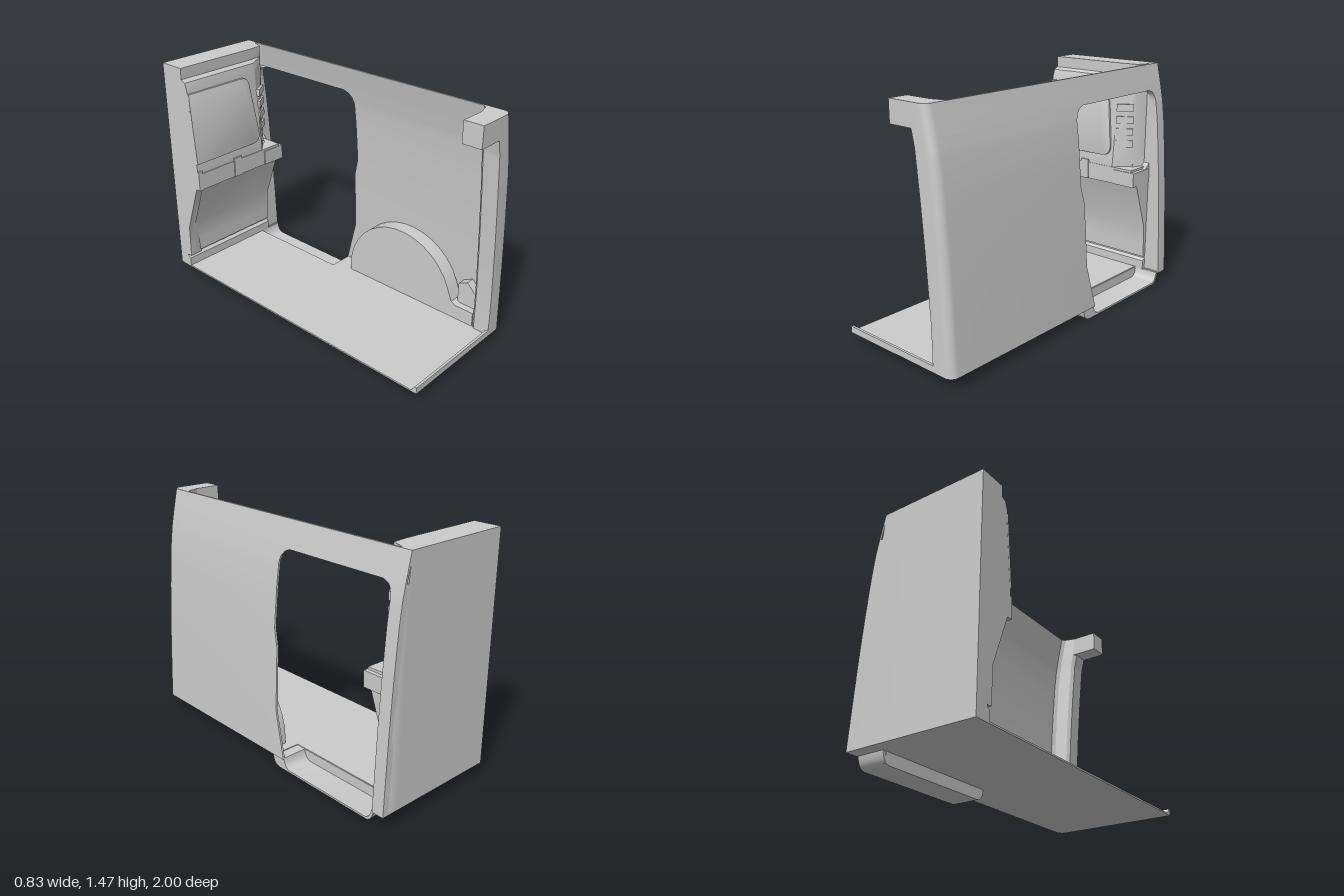
import * as THREE from 'three';
import { toCreasedNormals } from 'three/addons/utils/BufferGeometryUtils.js';

const mat = new THREE.MeshStandardMaterial({ color: 0xcccccc });
const V = (x, y, z) => new THREE.Vector3(x, y, z);

// piecewise linear lookup in [key, value] pairs
function lerpTable(table, k) {
  if (k <= table[0][0]) return table[0][1];
  for (let i = 1; i < table.length; i++) {
    const [k0, v0] = table[i - 1], [k1, v1] = table[i];
    if (k <= k1) return v0 + ((v1 - v0) * (k - k0)) / (k1 - k0);
  }
  return table[table.length - 1][1];
}

// body section, door edges and the pillar's inner edge, all by height
const outerX = y => lerpTable([[0.07, 0.413], [0.3, 0.402], [0.6, 0.387], [0.9, 0.366], [1.1, 0.348], [1.23, 0.331], [1.33, 0.311], [1.47, 0.28]], y);
const doorFront = y => lerpTable([[0.07, -0.21], [0.35, -0.135], [0.55, -0.13], [0.74, -0.125], [0.85, -0.098], [1.23, -0.098], [1.27, -0.11], [1.295, -0.135], [1.31, -0.17]], y);
const doorBack = y => lerpTable([[0.07, -0.922], [1.24, -0.922], [1.275, -0.912], [1.295, -0.895], [1.31, -0.86]], y);
const pillarX = y => lerpTable([[0.07, 0.275], [0.3, 0.275], [0.7, 0.25], [1, 0.225], [1.25, 0.2], [1.34, 0.18], [1.47, 0.16]], y);

// closed solid through matching loops of points; a and b span the cap plane
function loft(rows, a, b) {
  const pos = [], n = rows[0].length;
  const tri = (...p) => p.forEach(v => pos.push(v.x, v.y, v.z));
  for (let i = 0; i + 1 < rows.length; i++)
    for (let j = 0; j < n; j++) {
      const k = (j + 1) % n;
      tri(rows[i][j], rows[i][k], rows[i + 1][k]);
      tri(rows[i][j], rows[i + 1][k], rows[i + 1][j]);
    }
  [rows[0], rows[rows.length - 1]].forEach((row, end) => {
    const flat = row.map(p => new THREE.Vector2(p[a], p[b]));
    const sign = Math.sign(THREE.ShapeUtils.area(flat));
    for (const f of THREE.ShapeUtils.triangulateShape(flat, [])) {
      const same = Math.sign(THREE.ShapeUtils.area(f.map(i => flat[i]))) === sign;
      const [p, q, r] = f.map(i => row[i]);
      if (same === (end === 1)) tri(p, q, r); else tri(p, r, q);
    }
  });
  // turn the solid right side out
  let volume = 0;
  for (let i = 0; i < pos.length; i += 9) {
    const [p, q, r] = [0, 3, 6].map(o => V(pos[i + o], pos[i + o + 1], pos[i + o + 2]));
    volume += p.dot(q.cross(r));
  }
  if (volume < 0)
    for (let i = 0; i < pos.length; i += 9)
      for (let c = 0; c < 3; c++) [pos[i + 3 + c], pos[i + 6 + c]] = [pos[i + 6 + c], pos[i + 3 + c]];
  const g = new THREE.BufferGeometry();
  g.setAttribute('position', new THREE.Float32BufferAttribute(pos, 3));
  return toCreasedNormals(g, 0.5);
}

// prism along x from a (z, y) outline
const prismX = (pts, x0, x1) => loft([x0, x1].map(x => pts.map(([z, y]) => V(x, y, z))), 'z', 'y');

// rounded polygon path; corners are [x, y, radius]
function roundPath(path, corners) {
  const n = corners.length;
  corners.forEach(([x, y, r], i) => {
    const c = new THREE.Vector2(x, y);
    const toward = o => c.clone().add(new THREE.Vector2(corners[o][0], corners[o][1]).sub(c).setLength(r));
    const p = toward((i + n - 1) % n), q = toward((i + 1) % n);
    if (i) path.lineTo(p.x, p.y); else path.moveTo(p.x, p.y);
    if (r) path.quadraticCurveTo(x, y, q.x, q.y);
  });
  path.closePath();
  return path;
}

export function createModel() {
  const model = new THREE.Group();
  const add = (name, geometry) => {
    const m = new THREE.Mesh(geometry, mat);
    m.name = name;
    model.add(m);
    return m;
  };
  const box = (name, x0, x1, y0, y1, z0, z1) =>
    add(name, new THREE.BoxGeometry(x1 - x0, y1 - y0, z1 - z0)).position.set((x0 + x1) / 2, (y0 + y1) / 2, (z0 + z1) / 2);

  // side wall with rounded corner pillar
  const t = 0.012, r = 0.05;
  const wallLoop = (y, edge) => {
    const x = outerX(y), p = pillarX(y), loop = [V(x, y, edge)];
    for (let i = 0; i <= 8; i++) {
      const a = (i / 8) * Math.PI / 2;
      loop.push(V(x - r + r * Math.cos(a), y, 1 - r + r * Math.sin(a)));
    }
    loop.push(V(p, y, 1), V(p, y, 0.9), V(p + 0.02, y, 0.88), V(x - t - 0.02, y, 0.86), V(x - t, y, 0.84), V(x - t, y, edge));
    return loop;
  };
  const low = [0.07, 0.2, 0.35, 0.55, 0.74, 0.85, 1, 1.1, 1.2, 1.23, 1.25, 1.27, 1.285, 1.295, 1.304, 1.31];
  const high = [1.31, 1.34, 1.38, 1.42, 1.47];
  add('sideWall', loft(low.map(y => wallLoop(y, doorFront(y))), 'x', 'z'));
  add('doorHeader', loft(high.map(y => wallLoop(y, -1)), 'x', 'z'));
  add('doorRearJamb', loft(low.map(y => {
    const x = outerX(y), z = doorBack(y);
    return [V(x, y, z), V(x - 0.04, y, z), V(x - 0.04, y, -1), V(x, y, -1)];
  }), 'x', 'z'));
  box('roofRail', 0.02, 0.22, 1.342, 1.47, 0.88, 1);

  // floor with a notch for the step well
  const floor = new THREE.Shape([[-0.415, -1], [0.405, -1], [0.405, -0.915], [0.24, -0.915], [0.24, -0.14], [0.405, -0.14],
    [0.405, 0.96], [0.365, 0.995], [-0.415, 0.995]].map(([x, z]) => new THREE.Vector2(x, -z)));
  const floorGeo = new THREE.ExtrudeGeometry(floor, { depth: 0.01, bevelEnabled: false }).rotateX(-Math.PI / 2);
  add('floor', floorGeo.translate(0, 0.07, 0));
  add('rearSill', prismX([[1, 0.07], [1, 0.11], [0.985, 0.11], [0.965, 0.08], [0.965, 0.07]], -0.415, 0.3));

  // step tray hanging below the door
  const outline = new THREE.Shape();
  outline.moveTo(-0.11, 0.075);
  outline.lineTo(-0.11, 0.06);
  outline.quadraticCurveTo(-0.115, 0.002, -0.17, 0);
  outline.lineTo(-0.87, 0);
  outline.quadraticCurveTo(-0.915, 0.002, -0.925, 0.075);
  outline.lineTo(-0.91, 0.075);
  outline.quadraticCurveTo(-0.9, 0.014, -0.86, 0.012);
  outline.lineTo(-0.26, 0.012);
  outline.quadraticCurveTo(-0.215, 0.014, -0.205, 0.075);
  const tray = outline.getPoints(8).map(p => [p.x, p.y]);
  add('stepTray', prismX(tray, 0.23, 0.405));
  box('stepRiser', 0.23, 0.242, 0.006, 0.075, -0.9, -0.15);

  // wheel housing inside the wall
  const arch = [[0.88, 0.075], [0.88, 0.17], [0.76, 0.17], [0.725, 0.185]];
  for (let i = 1; i <= 16; i++) {
    const a = (i / 16) * (Math.PI - 0.2) + 0.2;
    arch.push([0.32 + 0.4 * Math.cos(a), 0.12 + 0.4 * Math.sin(a)]);
  }
  arch.push([-0.08, 0.075]);
  add('wheelHousing', prismX(arch, 0.285, 0.383));
  add('housingBlock', prismX([[0.86, 0.16], [0.86, 0.27], [0.8, 0.33], [0.74, 0.3], [0.74, 0.16]], 0.33, 0.385));

  // bulkhead: one profile swept across, stepping back toward the door jamb
  const profile = [[-1, 0.07], [-0.9, 0.07], [-0.9, 0.135], [-0.92, 0.15], [-0.92, 0.162], [-0.902, 0.165], [-0.9, 0.25], [-0.895, 0.38],
    [-0.785, 0.69], [-0.75, 0.69], [-0.745, 0.82], [-0.75, 0.88], [-0.785, 1.3], [-0.785, 1.34], [-0.8, 1.385], [-0.83, 1.4],
    [-0.83, 1.47], [-1, 1.47]];
  const section = (x, upper, lower) => profile.map(([z, y]) =>
    V(Math.min(x, outerX(y) - 0.004), y, z === -1 ? z : Math.min(z, y > 0.8 ? upper : lower)));
  add('bulkhead', loft([section(-0.415, 0, 0), section(0.13, 0, 0), section(0.23, -0.84, 0), section(0.262, -0.922, 0),
    section(0.3, -0.922, 0), section(0.301, -0.922, -0.922), section(0.42, -0.922, -0.922)], 'z', 'y'));

  // shelf with raised pads
  box('shelf', -0.415, 0.28, 0.69, 0.8, -0.92, -0.742);
  box('shelfEnd', 0.145, 0.305, 0.69, 0.785, -0.92, -0.735);
  for (const [x0, x1] of [[-0.415, -0.385], [-0.12, -0.06]]) box('shelfPad', x0, x1, 0.69, 0.82, -0.78, -0.735);

  // gusset under the shelf
  const gusset = [[-0.94, 0.16], [-0.888, 0.16], [-0.882, 0.38], [-0.77, 0.69], [-0.9, 0.69]];
  add('gusset', loft([-0.415, 1].map((x, end) => gusset.map(([z, y]) =>
    V(end ? (y < 0.3 ? -0.33 : -0.365) : x, y, z))), 'z', 'y'));

  // window frames leaning with the bulkhead
  const frame = (name, outer, inner, lift, depth) => {
    const shape = roundPath(new THREE.Shape(), outer);
    shape.holes.push(roundPath(new THREE.Path(), inner));
    const g = new THREE.ExtrudeGeometry(shape, { depth, bevelEnabled: true, bevelSize: 0.004, bevelThickness: 0.004, bevelSegments: 2, bevelOffset: -0.004, curveSegments: 8 });
    const p = g.attributes.position;
    for (let i = 0; i < p.count; i++) p.setZ(i, p.getZ(i) + lift - 0.75 - (p.getY(i) - 0.88) * 0.083);
    add(name, toCreasedNormals(g, 0.6));
  };
  const outerEdge = [[-0.415, 0.87, 0], [0.12, 0.87, 0.08], [0.06, 1.318, 0.06], [-0.415, 1.318, 0]];
  const midEdge = [[-0.412, 0.895, 0], [0.09, 0.895, 0.06], [0.035, 1.292, 0.05], [-0.412, 1.292, 0]];
  const innerEdge = [[-0.41, 0.907, 0], [0.075, 0.907, 0.05], [0.022, 1.278, 0.045], [-0.41, 1.278, 0]];
  frame('windowFrame', outerEdge, midEdge, 0, 0.01);
  frame('windowSeal', midEdge, innerEdge, -0.002, 0.004);

  // vent slats on the slanted edge of the bulkhead
  for (let i = 0; i < 4; i++) {
    const slat = add('ventSlat', new THREE.BoxGeometry(0.11, 0.045, 0.03));
    slat.position.set(0.178, 1.192 - i * 0.079, -0.802);
    slat.rotation.y = 0.6;
  }
  return model;
}
